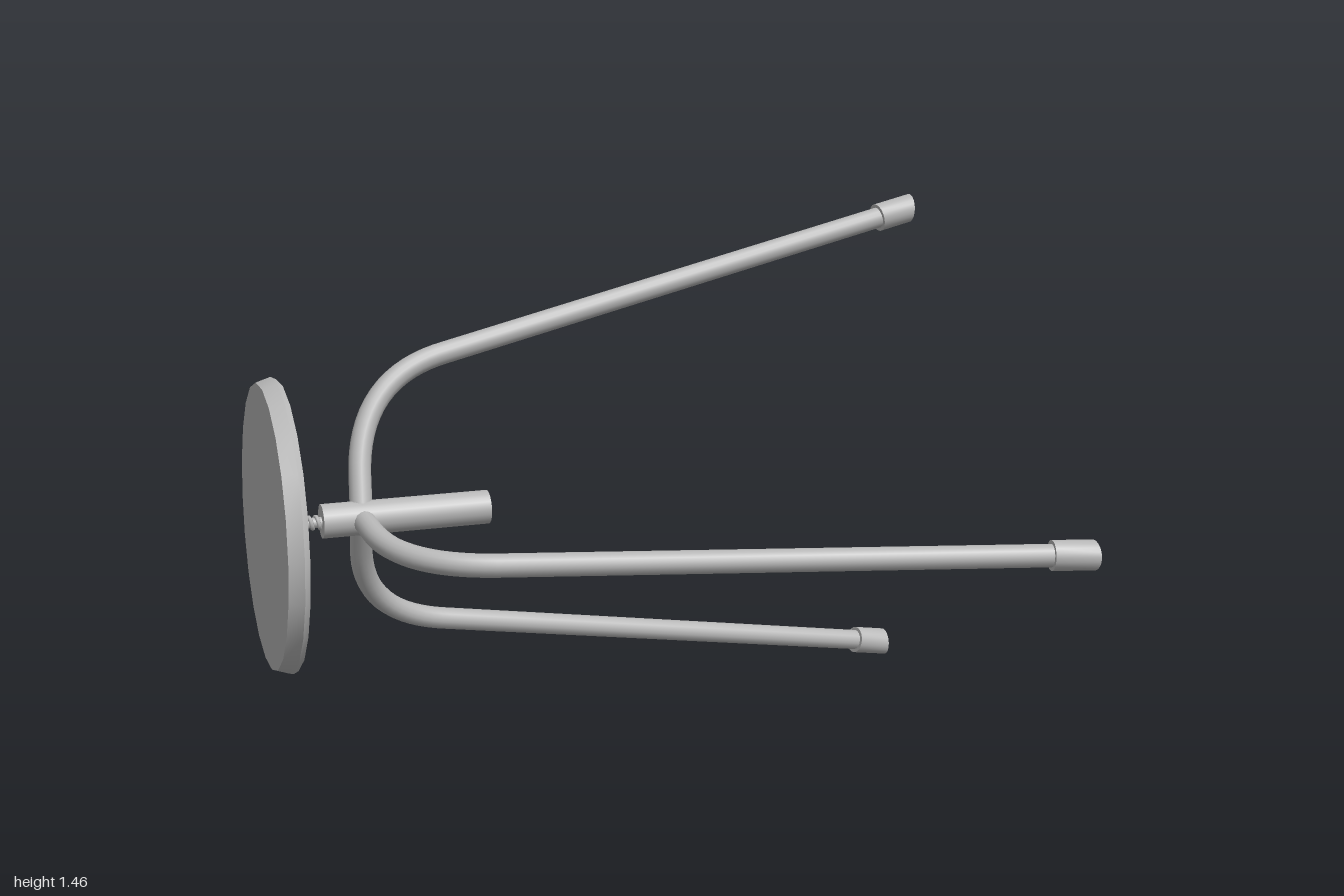
import * as THREE from 'three';
import { toCreasedNormals } from 'three/addons/utils/BufferGeometryUtils.js';

const V = (x, y, z) => new THREE.Vector3(x, y, z);
const steel = new THREE.MeshStandardMaterial({ color: 0xb8b8b8 });
steel.name = 'grey steel';

function add(parent, name, geometry) {
  const mesh = new THREE.Mesh(geometry, steel);
  mesh.name = name;
  parent.add(mesh);
  return mesh;
}

// Cylinder running between two points
function rod(a, b, radius, sides = 20) {
  const dir = b.clone().sub(a);
  const g = new THREE.CylinderGeometry(radius, radius, dir.length(), sides);
  g.applyQuaternion(new THREE.Quaternion().setFromUnitVectors(V(0, 1, 0), dir.clone().normalize()));
  const mid = a.clone().add(b).multiplyScalar(0.5);
  return g.translate(mid.x, mid.y, mid.z);
}

// Rubber foot whose outer end is cut square to the stool axis
function footGeometry(end, dir) {
  const start = end.clone().addScaledVector(dir, -0.11);
  const g = rod(start, end, 0.04, 20);
  const p = g.attributes.position;
  const v = V(0, 0, 0);
  for (let i = 0; i < p.count; i++) {
    v.fromBufferAttribute(p, i);
    if (v.clone().sub(start).dot(dir) < 0.05) continue;
    v.addScaledVector(dir, (end.x - v.x) / dir.x);
    p.setXYZ(i, v.x, v.y, v.z);
  }
  return toCreasedNormals(g.toNonIndexed(), 0.7);
}

// Bent leg: out from the hub, round the knee, then straight to the foot
function addLeg(parent, name, knee, end) {
  const leg = new THREE.Group();
  leg.name = name;
  const hub = V(-0.74, 0.695, -0.16);
  const dir = end.clone().sub(knee).normalize();
  const corner = knee.clone().addScaledVector(dir, (-0.717 - knee.x) / dir.x);
  const bendStart = hub.clone().lerp(corner, 0.3);
  const path = new THREE.CurvePath();
  path.add(new THREE.LineCurve3(hub, bendStart));
  path.add(new THREE.QuadraticBezierCurve3(bendStart, corner, knee));
  path.add(new THREE.LineCurve3(knee, end.clone().addScaledVector(dir, -0.03)));
  add(leg, 'legTube', new THREE.TubeGeometry(path, 72, 0.03, 16));
  add(leg, 'foot', footGeometry(end, dir));
  parent.add(leg);
}

export function createModel() {
  const stool = new THREE.Group();
  stool.name = 'stool';

  // Shallow dished seat, hollow side towards the legs
  const profile = [
    [0, -0.02], [0.357, -0.02], [0.361, -0.05], [0.376, -0.052],
    [0.383, -0.038], [0.37, 0], [0, 0],
  ].map(([r, y]) => new THREE.Vector2(r, y));
  const seat = add(stool, 'seat',
    toCreasedNormals(new THREE.LatheGeometry(profile, 22).toNonIndexed(), 0.4));
  seat.rotation.set(0, 0.012, Math.PI / 2 - 0.012, 'YXZ');
  seat.position.set(-0.995, 0.695, -0.143);

  // Threaded spindle
  const screw = new THREE.Group();
  screw.name = 'screw';
  add(screw, 'screwCore', rod(V(-0.98, 0.692, -0.157), V(-0.83, 0.692, -0.157), 0.014, 12));
  const helix = [];
  const turns = 7;
  for (let i = 0; i <= turns * 12; i++) {
    const a = (i / 12) * Math.PI * 2;
    helix.push(V(-0.97 + (0.13 * i) / (turns * 12),
      0.692 + 0.015 * Math.cos(a), -0.157 + 0.015 * Math.sin(a)));
  }
  add(screw, 'screwThread',
    new THREE.TubeGeometry(new THREE.CatmullRomCurve3(helix), turns * 14, 0.006, 6));
  stool.add(screw);

  // Central sleeve
  add(stool, 'hub', rod(V(-0.845, 0.694, -0.158), V(-0.4, 0.696, -0.163), 0.045, 24));

  // Three splayed legs
  addLeg(stool, 'upperLeg', V(-0.48, 1.09, -0.312), V(0.97, 1.42, -0.465));
  addLeg(stool, 'frontLeg', V(-0.48, 0.65, 0.25), V(0.998, 0.63, 0.58));
  addLeg(stool, 'lowerLeg', V(-0.48, 0.331, -0.377), V(0.985, 0.046, -0.578));

  return stool;
}
